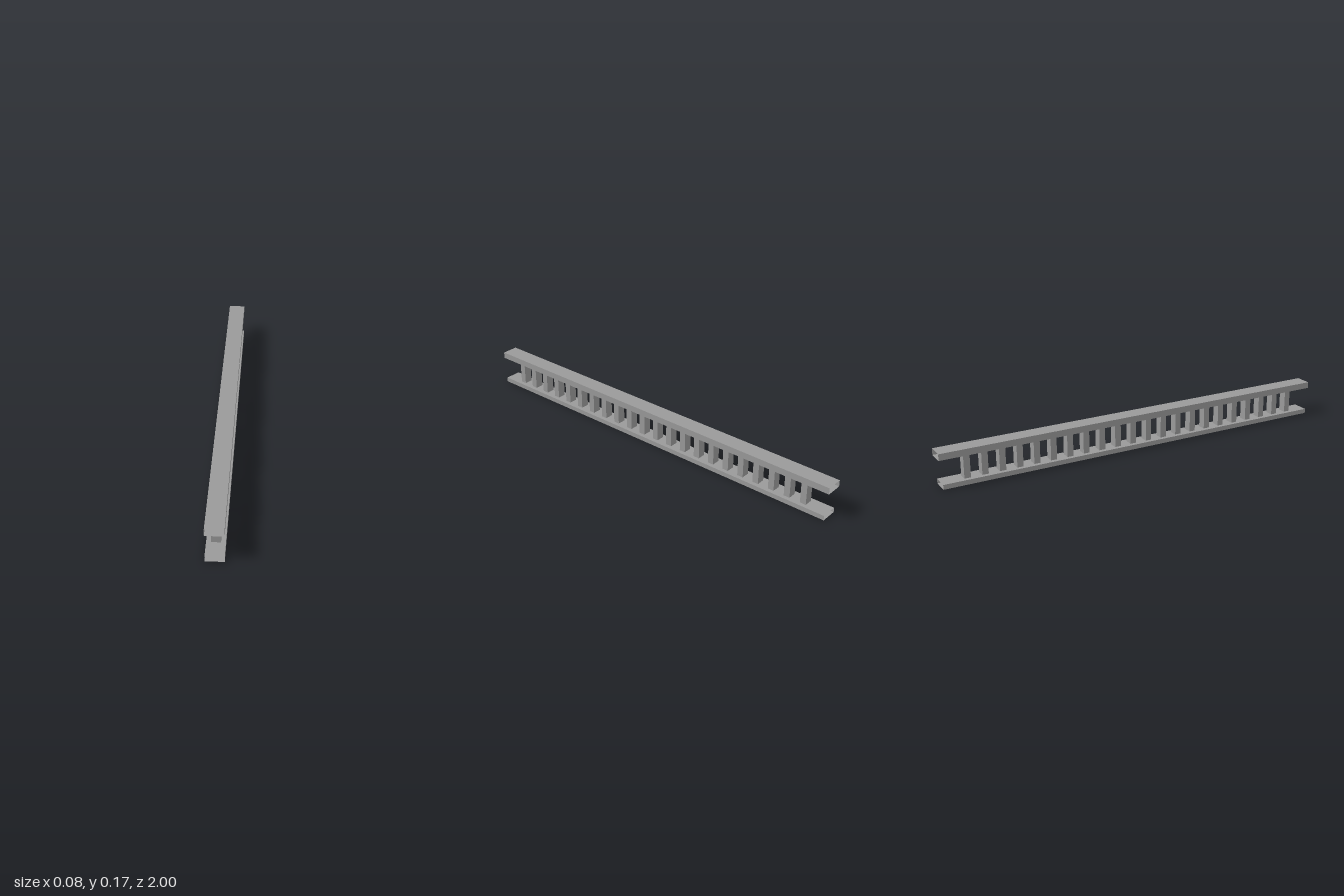
import * as THREE from 'three';

const material = new THREE.MeshStandardMaterial({ color: 0x999999, side: THREE.DoubleSide, flatShading: true });

// Four-sided sleeve: a box without its two caps on the given axis
function sleeve(name, axis, w, h, d, x, y, z) {
  const box = new THREE.BoxGeometry(w, h, d);
  const first = { x: 0, y: 2, z: 4 }[axis];
  const index = [];
  for (const g of box.groups) {
    if (g.materialIndex === first || g.materialIndex === first + 1) continue;
    for (let i = 0; i < g.count; i++) index.push(box.index.getX(g.start + i));
  }
  box.setIndex(index);
  box.clearGroups();
  const mesh = new THREE.Mesh(box, material);
  mesh.name = name;
  mesh.position.set(x, y, z);
  return mesh;
}

export function createModel() {
  const group = new THREE.Group();
  group.name = 'balustrade';

  // Handrail and slightly shorter base rail, open at both ends
  group.add(sleeve('handrail', 'z', 0.081, 0.031, 2, 0, 0.152, 0));
  group.add(sleeve('baseRail', 'z', 0.081, 0.0225, 1.978, 0, 0.01125, 0.001));

  // Row of evenly spaced balusters between the rails
  const balusters = new THREE.Group();
  balusters.name = 'balusters';
  const count = 22, start = 0.882, end = -0.869;
  for (let i = 0; i < count; i++) {
    const z = start + (end - start) * i / (count - 1);
    balusters.add(sleeve('baluster', 'y', 0.041, 0.114, 0.03, 0, 0.0795, z));
  }
  group.add(balusters);
  return group;
}
